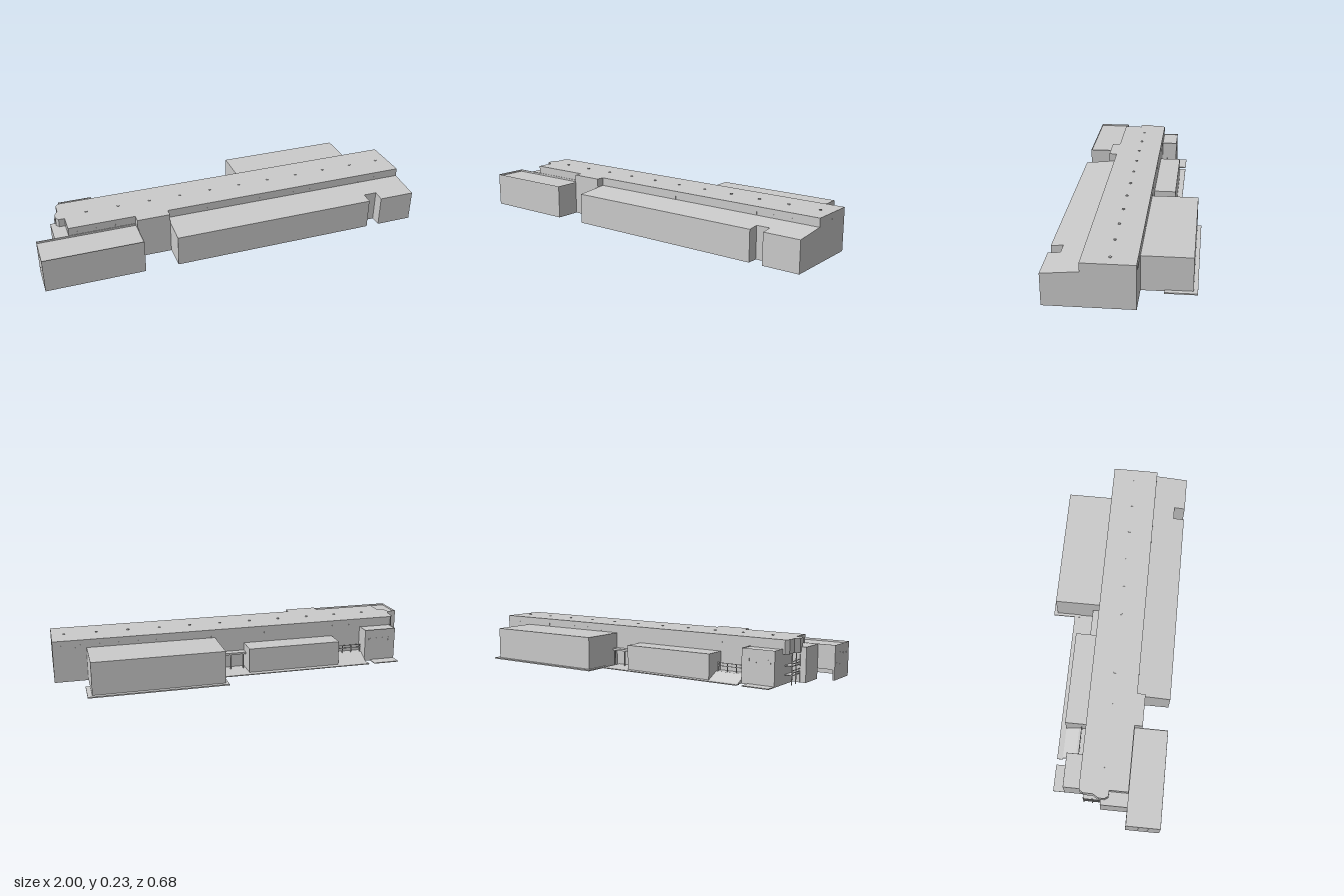
import * as THREE from 'three';

const mat = new THREE.MeshStandardMaterial({ color: 0xcccccc, flatShading: true, side: THREE.DoubleSide });
const BASE = 0.0115;
const FRONT = 0.342, HALL_F = 0.167, HALL_B = -0.081;

export function createModel() {
  const model = new THREE.Group();

  const add = (name, geometry, x = 0, y = 0, z = 0) => {
    const m = new THREE.Mesh(geometry, mat);
    m.name = name;
    m.position.set(x, y, z);
    model.add(m);
    return m;
  };

  // box given by its limits
  const box = (name, x0, x1, y0, y1, z0, z1) =>
    add(name, new THREE.BoxGeometry(x1 - x0, y1 - y0, z1 - z0), (x0 + x1) / 2, (y0 + y1) / 2, (z0 + z1) / 2);

  // hollow building volume, open below: walls on a plan outline plus a roof.
  // topAt(z) gives wall height, sink lowers the roof behind a parapet, skip leaves out one wall
  const shell = (name, plan, topAt, { sink = 0, skip = -1, y0 = BASE } = {}) => {
    const flat = plan.map(([x, z]) => new THREE.Vector2(x, -z));
    if (THREE.ShapeUtils.isClockWise(flat)) flat.reverse();
    const p = [];
    const at = (v, y) => p.push(v.x, y, -v.y);
    flat.forEach((a, i) => {
      if (i === skip) return;
      const b = flat[(i + 1) % flat.length];
      const ta = topAt(-a.y), tb = topAt(-b.y);
      at(a, y0); at(b, y0); at(b, tb);
      at(a, y0); at(b, tb); at(a, ta);
    });
    for (const tri of THREE.ShapeUtils.triangulateShape(flat, []))
      for (const i of tri) at(flat[i], topAt(-flat[i].y) - sink);
    const g = new THREE.BufferGeometry();
    g.setAttribute('position', new THREE.Float32BufferAttribute(p, 3));
    g.computeVertexNormals();
    return add(name, g);
  };
  const rect = (x0, x1, z0, z1) => [[x0, z1], [x1, z1], [x1, z0], [x0, z0]];
  const level = (y) => () => y;

  // main hall with the projecting entrance bay
  shell('mainHall', [[-0.84, HALL_F], [-0.5, HALL_F], [-0.5, 0.209], [-0.33, 0.209], [-0.33, HALL_F],
    [1, HALL_F], [1, HALL_B], [-0.84, HALL_B]], level(0.23));

  // long front annex with lean-to roof and a notch in its front
  shell('frontAnnex', [[-0.33, FRONT], [0.74, FRONT], [0.74, 0.283], [0.81, 0.283], [0.81, FRONT],
    [1, FRONT], [1, HALL_F], [-0.33, HALL_F]], (z) => 0.187 - (z - HALL_F) * 0.092);

  // front wing with parapet; its rear wall is raised on a post near the end
  shell('frontWing', rect(-1, -0.5, HALL_F, FRONT), level(0.188), { sink: 0.01, skip: 2 });
  box('wingRearWall', -0.84, -0.5, BASE, 0.188, HALL_F, HALL_F + 0.003);
  box('wingRearUpperWall', -1, -0.84, 0.065, 0.188, HALL_F, HALL_F + 0.003);
  box('wingPost', -0.998, -0.99, BASE, 0.07, HALL_F, HALL_F + 0.008);

  // rear volumes
  shell('rearBlockLarge', rect(0.16, 0.83, -0.322, HALL_B), level(0.187));
  shell('rearBlockSmall', rect(-0.5, 0, -0.195, HALL_B), level(0.145));
  shell('rearEndBlock', rect(-0.84, -0.665, -0.165, HALL_B), level(0.187), { sink: 0.004 });
  box('loadingCanopy', 0, 0.16, 0.095, 0.105, -0.12, HALL_B);
  for (const x of [0.01, 0.08, 0.145]) box('canopyPost', x, x + 0.006, BASE, 0.095, -0.118, -0.112);

  // end wall projections: stair block, stepped oriel and open landings
  shell('endStairBlock', rect(-0.91, -0.84, 0.03, HALL_F), level(0.187));
  shell('endOriel', [[-0.84, 0.07], [-0.87, 0.07], [-0.883, 0.05], [-0.883, 0.02], [-0.865, -0.01],
    [-0.865, -0.06], [-0.85, -0.1 + 0.02], [-0.84, HALL_B]], level(0.23), { y0: 0.16 });
  for (const y of [0.055, 0.1]) {
    box('endLanding', -0.88, -0.84, y, y + 0.004, -0.06, 0.03);
    for (const h of [0.012, 0.024]) box('landingRail', -0.88, -0.877, y + h, y + h + 0.003, -0.06, 0.03);
  }
  for (const z of [-0.06, -0.015, 0.026]) box('landingPost', -0.88, -0.876, BASE, 0.16, z, z + 0.004);

  // ground sheet of the hall and large rear block, with a floor opening
  const ground = new THREE.Shape([[-0.84, HALL_F], [1, HALL_F], [1, HALL_B], [0.83, HALL_B], [0.83, -0.19],
    [0.145, -0.19], [0.145, HALL_B], [-0.84, HALL_B]].map(([x, z]) => new THREE.Vector2(x, -z)));
  ground.holes.push(new THREE.Path(rect(0.45, 0.71, -0.115, -0.015).map(([x, z]) => new THREE.Vector2(x, -z))));
  add('groundFloor', new THREE.ShapeGeometry(ground).rotateX(-Math.PI / 2), 0, BASE, 0);
  box('floorPit', -0.465, -0.39, 0, BASE, 0.054, 0.057);

  // paving behind the building; the small rear block stays open below
  box('pavingLarge', 0.145, 0.853, BASE, 0.018, -0.342, -0.19);
  box('pavingStrip', -0.67, 0.145, BASE, 0.016, -0.225, -0.195);
  box('pavingLoading', 0, 0.145, BASE, 0.016, -0.195, HALL_B);
  box('pavingEnd', -0.84, -0.7, BASE, 0.016, -0.225, HALL_B);

  // smooth ramp up to a landing between the rear volumes, with rails
  const rampSide = new THREE.Shape([[0.195, BASE], [0.195, 0.016], [0.125, 0.05], [-HALL_B, 0.05], [-HALL_B, BASE]]
    .map(([x, y]) => new THREE.Vector2(x, y)));
  add('ramp', new THREE.ExtrudeGeometry(rampSide, { depth: 0.163, bevelEnabled: false }).rotateY(Math.PI / 2), -0.663, 0, 0);
  for (const y of [0.075, 0.09]) box('rampRail', -0.663, -0.5, y, y + 0.003, -0.112, -0.109);
  for (let i = 0; i < 4; i++) {
    const x = -0.66 + i * 0.051;
    box('rampRailPost', x, x + 0.004, 0.05, 0.092, -0.112, -0.108);
  }

  // roof vents along the hall
  for (let i = 0; i < 11; i++)
    add('roofVent', new THREE.CylinderGeometry(0.007, 0.007, 0.004, 12), -0.725 + i * 0.166, 0.2315, 0.04);

  // small clerestory strips, almost flush, on both long sides of the hall
  for (let i = 0; i < 19; i++) {
    const x = -0.8 + i * 0.0975;
    if (x < -0.52 || x > -0.31) box('frontStrip', x, x + 0.005, 0.187, 0.205, HALL_F, HALL_F + 0.0008);
    box('rearStrip', x, x + 0.005, 0.19, 0.205, HALL_B - 0.0008, HALL_B);
  }

  // windows as thin panels on the end walls and rear walls
  box('endWindow', 0.9995, 1.0003, 0.195, 0.21, 0.03, 0.046);
  for (const x of [0.87, 0.9, 0.93]) box('hallRearWindow', x, x + 0.016, 0.185, 0.2, HALL_B - 0.0008, HALL_B);
  for (const z of [0.19, 0.23, 0.27, 0.31])
    for (const y of [0.085, 0.135]) box('wingWindow', -1.0003, -0.9995, y, y + 0.015, z, z + 0.015);
  for (let i = 0; i < 4; i++)
    box('rearWindow', -0.82 + i * 0.038, -0.8 + i * 0.038, 0.12, 0.14, -0.166, -0.165);

  return model;
}
